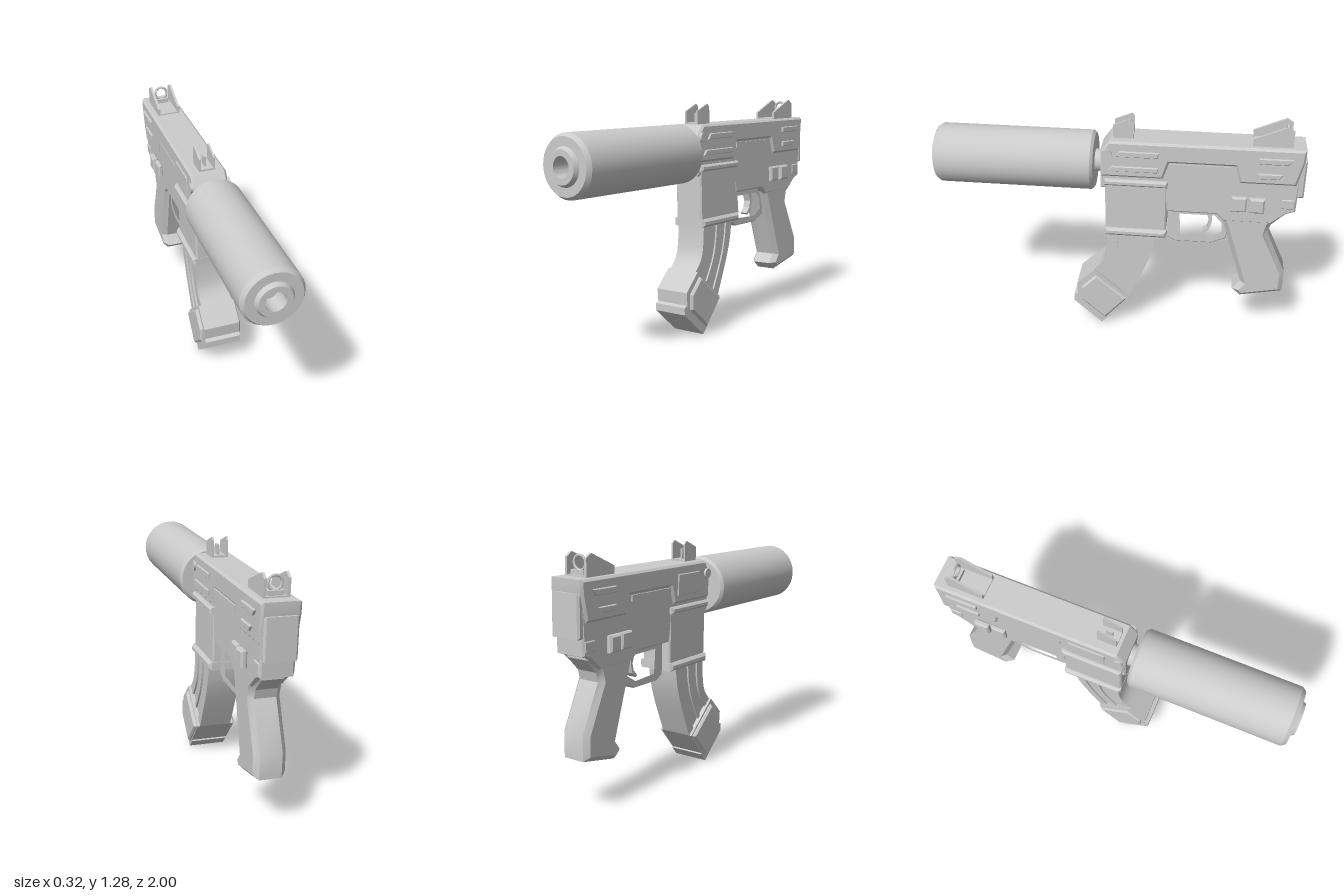
import * as THREE from 'three';
import { toCreasedNormals } from 'three/addons/utils/BufferGeometryUtils.js';

const material = new THREE.MeshStandardMaterial({ color: 0xcccccc });

export function createModel() {
  const model = new THREE.Group();
  model.name = 'compactGun';
  // the whole body leans very slightly to one side about the barrel
  const body = new THREE.Group();
  body.name = 'body';
  body.position.y = 1;
  body.rotation.z = 0.024;
  const parts = new THREE.Group();
  parts.name = 'parts';
  parts.position.y = -1;
  body.add(parts);
  model.add(body);

  const add = (name, geometry, crease = 0.5) => {
    const mesh = new THREE.Mesh(toCreasedNormals(geometry, crease), material);
    mesh.name = name;
    parts.add(mesh);
    return mesh;
  };
  // side profile of [z, y] points, extruded across x from x0 to x1
  const slab = (name, pts, x0, x1, bevel = 0, hole = null) => {
    const shape = new THREE.Shape(pts.map(p => new THREE.Vector2(...p)));
    if (hole) shape.holes.push(new THREE.Path(hole.map(p => new THREE.Vector2(...p))));
    const g = new THREE.ExtrudeGeometry(shape, {
      depth: x1 - x0 - 2 * bevel, bevelEnabled: bevel > 0, bevelThickness: bevel,
      bevelSize: bevel, bevelOffset: -bevel, bevelSegments: 1,
    });
    g.rotateY(-Math.PI / 2);
    g.translate(x1 - bevel, 0, 0);
    return add(name, g);
  };
  const rect = (z0, z1, y0, y1) => [[z0, y0], [z1, y0], [z1, y1], [z0, y1]];
  // same profile raised on one side (s = 1 or -1), from depth a to b
  const sidePart = (name, pts, s, a, b, bevel = 0) =>
    slab(name, pts, s > 0 ? a : -b, s > 0 ? b : -a, bevel);

  // suppressor with stepped nose and bore, plus the barrel behind it
  const lathe = pts => {
    const g = new THREE.LatheGeometry(pts.map(p => new THREE.Vector2(...p)), 32);
    g.rotateX(Math.PI / 2);
    g.translate(0, 1.01, 0);
    return g;
  };
  add('suppressor', lathe([[0, 0.115], [0.147, 0.115], [0.161, 0.13], [0.161, 0.955],
    [0.145, 0.978], [0.098, 0.978], [0.085, 1], [0.053, 1], [0.053, 0.9], [0, 0.9]]));
  add('barrel', lathe([[0, 0], [0.06, 0], [0.06, 0.13], [0, 0.13]]));

  // main frame and the wider upper cover
  slab('frame', [[0.08, 1.1], [0.08, 0.885], [0.04, 0.885], [-0.27, 0.82], [-0.28, 0.76],
    [-0.55, 0.76], [-0.59, 0.72], [-0.845, 0.72], [-0.92, 0.785], [-0.965, 0.8],
    [-0.968, 0.885], [-0.98, 1.1]], -0.085, 0.085, 0.008);
  slab('upperCover', [[0.035, 1.165], [0.082, 1.1], [0.075, 0.96], [-0.255, 0.96], [-0.285, 1.055],
    [-0.635, 1.055], [-0.66, 0.96], [-0.955, 0.96], [-0.988, 1.1], [-0.99, 1.165]], -0.098, 0.098, 0.012);
  slab('rearPlate', rect(-0.96, -1, 0.885, 1.1), -0.085, 0.085, 0.01);
  slab('rearBlock', rect(-0.88, -0.965, 0.81, 0.88), -0.09, 0.09, 0.012);

  // side details
  for (const s of [1, -1]) {
    sidePart('boltRail', rect(-0.285, -0.61, 1.02, 1.05), s, 0.08, 0.093);
    if (s > 0) {
      sidePart('frontRib', [[-0.02, 1.115], [0, 1.083], [-0.225, 1.083], [-0.23, 1.115]], s, 0.09, 0.108, 0.004);
      sidePart('frontRib', [[0.02, 1.027], [0.04, 0.998], [-0.225, 0.998], [-0.23, 1.027]], s, 0.09, 0.108, 0.004);
    } else {
      sidePart('ejectionPanel', rect(-0.03, -0.23, 1, 1.115), s, 0.09, 0.104, 0.004);
    }
    sidePart('rearRib', [[-0.75, 1.115], [-0.75, 1.083], [-0.9, 1.083], [-0.925, 1.115]], s, 0.09, 0.11, 0.004);
    sidePart('rearRib', [[-0.75, 1.027], [-0.75, 0.998], [-0.86, 0.998], [-0.88, 1.027]], s, 0.09, 0.11, 0.004);
    sidePart('selectorFront', rect(-0.622, -0.705, 0.793, 0.88), s, 0.08, 0.108, 0.008);
    sidePart('selectorRear', rect(-0.717, -0.8, 0.793, 0.88), s, 0.08, 0.116, 0.01);
    const pin = new THREE.CylinderGeometry(0.027, 0.027, 0.02, 16);
    pin.rotateZ(Math.PI / 2);
    pin.translate(s * 0.1, 1.095, 0.045);
    add('pin', pin);
  }

  // magazine well with top and bottom bands
  slab('magazineWell', rect(0.055, -0.28, 0.6, 0.945), -0.088, 0.088, 0.008);
  slab('wellTopBand', rect(0.06, -0.282, 0.91, 0.945), -0.108, 0.108, 0.01);
  slab('wellBottomBand', rect(0.057, -0.285, 0.6, 0.645), -0.108, 0.108, 0.014);

  // curved magazine: strips between the front and back edges
  const front = [[0.037, 0.62], [0.042, 0.53], [0.055, 0.45], [0.082, 0.4], [0.125, 0.355]];
  const back = [[-0.225, 0.62], [-0.21, 0.52], [-0.18, 0.42], [-0.134, 0.31], [-0.08, 0.19]];
  const smooth = pts => new THREE.SplineCurve(pts.map(p => new THREE.Vector2(...p))).getPoints(8);
  const f = smooth(front), b = smooth(back);
  const strip = (u, v) => {
    const line = t => f.map((p, i) => p.clone().lerp(b[i], t).toArray());
    return [...line(u), ...line(v).reverse()];
  };
  slab('magazine', strip(0, 1), -0.08, 0.08);
  for (const [u, v] of [[0, 0.22], [0.47, 0.55], [0.8, 1]]) {
    slab('magazineRib', strip(u, v), -0.09, 0.09);
  }
  slab('magazineBase', [[0.117, 0.364], [0.217, 0.265], [0.212, 0.175], [0.05, 0.04], [-0.08, 0.19]],
    -0.104, 0.104);
  slab('magazineBaseSides', [[0.105, 0.335], [0.19, 0.25], [0.19, 0.165], [0.055, 0.045], [-0.07, 0.187]],
    -0.121, 0.121, 0.01);
  slab('magazineFoot', [[0.2, 0.2], [0.235, 0.185], [0.235, 0.145], [0.075, 0.002], [0.03, 0.05]],
    -0.102, 0.102);

  // trigger guard and trigger
  slab('triggerGuard', [[-0.285, 0.77], [-0.285, 0.58], [-0.33, 0.555], [-0.53, 0.555], [-0.61, 0.59], [-0.64, 0.77]],
    -0.045, 0.045, 0.005,
    [[-0.345, 0.735], [-0.355, 0.592], [-0.52, 0.585], [-0.59, 0.625], [-0.585, 0.69], [-0.545, 0.735]]);
  slab('trigger', [[-0.49, 0.75], [-0.515, 0.68], [-0.505, 0.64], [-0.475, 0.61], [-0.485, 0.6],
    [-0.515, 0.625], [-0.53, 0.68], [-0.525, 0.75]], -0.022, 0.022);

  // chamfered pistol grip
  slab('grip', [[-0.56, 0.77], [-0.59, 0.7], [-0.708, 0.326], [-0.665, 0.272], [-0.712, 0.23],
    [-0.945, 0.278], [-0.945, 0.406], [-0.832, 0.65], [-0.845, 0.7], [-0.92, 0.775], [-0.92, 0.8], [-0.6, 0.8]],
    -0.083, 0.083, 0.026);

  // sights: paired walls, floors, front post and rear ring
  for (const s of [1, -1]) {
    sidePart('frontSightWall', [[0.016, 1.155], [0.016, 1.237], [-0.075, 1.275], [-0.09, 1.258], [-0.09, 1.155]],
      s, 0.034, 0.044);
    sidePart('rearSightWall', [[-0.717, 1.155], [-0.717, 1.205], [-0.885, 1.277], [-0.92, 1.255], [-0.92, 1.155]],
      s, 0.052, 0.065);
  }
  slab('frontSightFloor', rect(0.016, -0.09, 1.155, 1.175), -0.04, 0.04);
  slab('frontSightPost', rect(-0.02, -0.06, 1.16, 1.228), -0.006, 0.006);
  slab('rearSightFloor', rect(-0.717, -0.92, 1.155, 1.172), -0.06, 0.06);
  slab('rearSightStem', rect(-0.87, -0.91, 1.16, 1.195), -0.04, 0.04);
  const ring = new THREE.TorusGeometry(0.035, 0.007, 8, 24);
  ring.translate(0, 1.228, -0.89);
  add('rearSightRing', ring, 1);

  return model;
}
